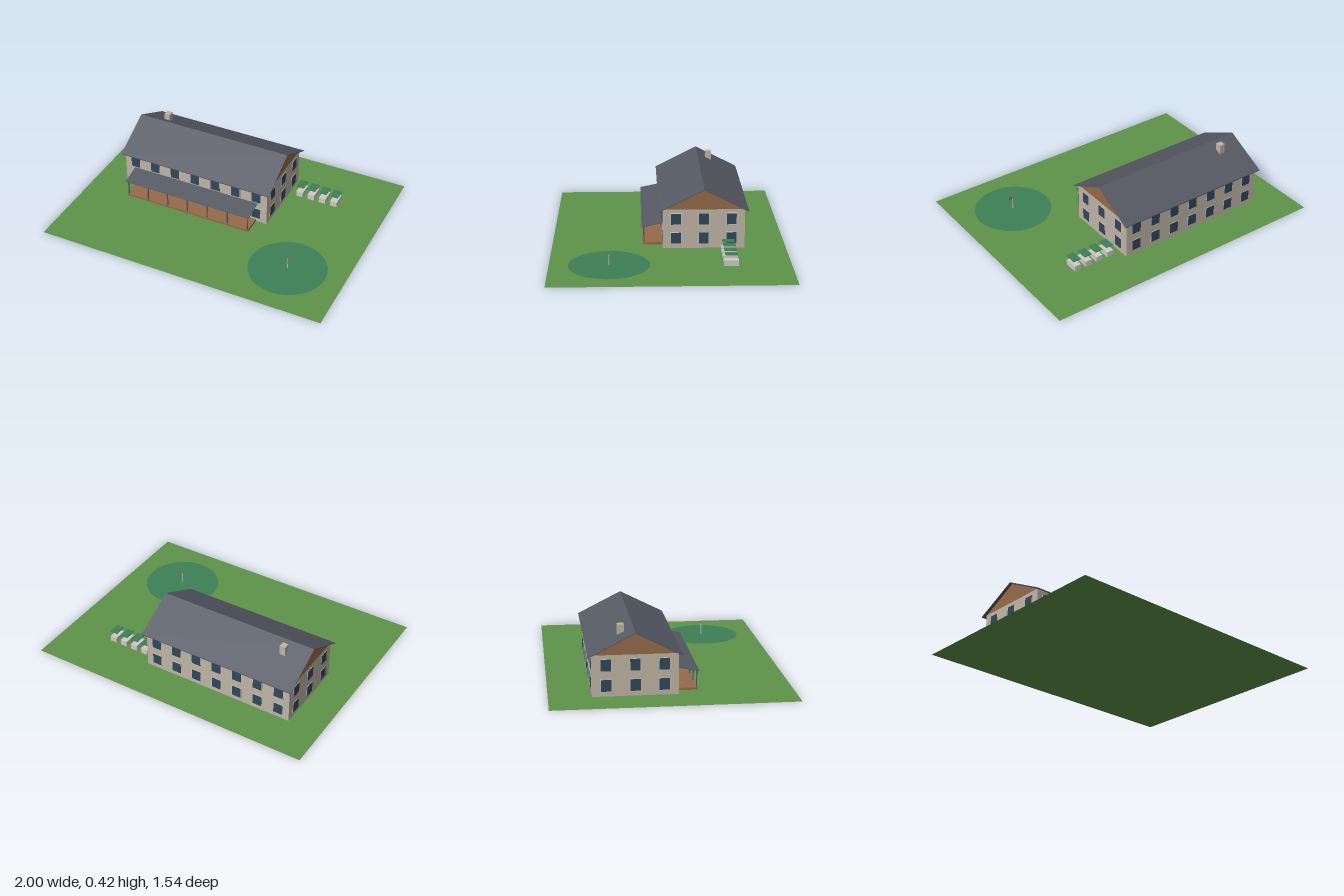
import * as THREE from 'three';

const paint = (name, color, side = THREE.FrontSide) => {
  const m = new THREE.MeshStandardMaterial({ color, side });
  m.name = name;
  return m;
};

export function createModel() {
  const model = new THREE.Group();
  model.name = 'lodge';
  const grass = paint('grass', 0x5f9449, THREE.DoubleSide);
  const green = paint('puttingGreen', 0x3e8056);
  const stone = paint('stone', 0xbfb5a5);
  const slate = paint('slate', 0x565a64, THREE.DoubleSide);
  const wood = paint('wood', 0x946b49, THREE.DoubleSide);
  const glass = paint('glass', 0x31475a);
  const trim = paint('trim', 0xcccbc4);

  const add = (parent, name, geometry, material, x = 0, y = 0, z = 0) => {
    const mesh = new THREE.Mesh(geometry, material);
    mesh.name = name;
    mesh.position.set(x, y, z);
    parent.add(mesh);
    return mesh;
  };
  // Box placed by its bottom centre
  const box = (parent, name, material, w, h, d, x, y, z) =>
    add(parent, name, new THREE.BoxGeometry(w, h, d), material, x, y + h / 2, z);
  // Extrudes a (z, y) outline along x
  const alongX = (parent, name, points, material, x0, x1) => {
    const shape = new THREE.Shape(points.map(([z, y]) => new THREE.Vector2(-z, y)));
    const geo = new THREE.ExtrudeGeometry(shape, { depth: x1 - x0, bevelEnabled: false });
    geo.rotateY(Math.PI / 2);
    return add(parent, name, geo, material, x0);
  };

  // Lawn and round green
  add(model, 'lawn', new THREE.PlaneGeometry(2, 1.536).rotateX(-Math.PI / 2), grass);
  add(model, 'puttingGreen', new THREE.CircleGeometry(0.26, 32).rotateX(-Math.PI / 2), green, 0.613, 0.0015, 0.387);

  // House body, timber gables and roof
  const X0 = -0.77, X1 = 0.305, Z0 = -0.497, Z1 = 0.04;
  const midX = (X0 + X1) / 2, midZ = (Z0 + Z1) / 2;
  const house = new THREE.Group();
  house.name = 'house';
  model.add(house);
  box(house, 'walls', stone, X1 - X0, 0.264, Z1 - Z0, midX, 0.001, midZ);
  alongX(house, 'gables', [[Z0, 0.265], [Z1, 0.265], [midZ, 0.4]], wood, X0, X1);
  const eave = 0.293;
  alongX(house, 'roof', [
    [midZ - eave, 0.252], [midZ, 0.4], [midZ + eave, 0.252],
    [midZ + eave, 0.258], [midZ, 0.406], [midZ - eave, 0.258],
  ], slate, -0.79, 0.328);
  box(house, 'chimney', stone, 0.04, 0.08, 0.042, -0.617, 0.342, -0.308);

  // Windows: thin glass over a slightly larger frame
  const windowAt = (x, y, z, turn) => {
    const w = new THREE.Group();
    w.name = 'window';
    add(w, 'windowFrame', new THREE.BoxGeometry(0.071, 0.081, 0.004), trim);
    add(w, 'windowGlass', new THREE.BoxGeometry(0.064, 0.074, 0.004), glass, 0, 0, 0.002);
    w.position.set(x, y, z);
    w.rotation.y = turn;
    house.add(w);
  };
  for (const y of [0.07, 0.2]) {
    for (let i = 0; i < 7; i++) {
      const x = -0.692 + i * 0.153;
      if (y > 0.1 || i !== 3) windowAt(x, y, Z1, 0);
      windowAt(x, y, Z0, Math.PI);
    }
    for (const z of [-0.047, midZ, -0.41]) {
      windowAt(X1, y, z, Math.PI / 2);
      windowAt(X0, y, z, -Math.PI / 2);
    }
  }

  // Double front door
  for (const s of [-1, 1])
    box(house, 'doorLeaf', wood, 0.039, 0.09, 0.006, -0.235 + s * 0.0203, 0.016, Z1 + 0.002);

  // Porch: deck, posts and lean-to roof
  const porch = new THREE.Group();
  porch.name = 'porch';
  model.add(porch);
  box(porch, 'porchDeck', wood, 0.922, 0.015, 0.13, -0.234, 0.001, 0.105);
  for (let i = 0; i < 7; i++)
    box(porch, 'porchPost', slate, 0.007, 0.11, 0.007, -0.685 + i * 0.151, 0.016, 0.163);
  alongX(porch, 'porchRoof', [[0.04, 0.151], [0.179, 0.122], [0.179, 0.125], [0.04, 0.154]], slate, -0.7, 0.236);

  // Row of parked carts with canopies
  for (let i = 0; i < 4; i++) {
    const cart = new THREE.Group();
    cart.name = 'cart';
    cart.position.set(0.384 + i * 0.084, 0, -0.384);
    box(cart, 'cartBody', trim, 0.048, 0.038, 0.092, 0, 0.001, 0);
    box(cart, 'cartCanopy', green, 0.054, 0.005, 0.08, 0, 0.073, 0);
    model.add(cart);
  }

  // Flag on the green
  add(model, 'flagPole', new THREE.CylinderGeometry(0.003, 0.003, 0.085, 8), trim, 0.613, 0.0435, 0.387);
  box(model, 'flag', wood, 0.03, 0.018, 0.002, 0.627, 0.08, 0.387);

  return model;
}
